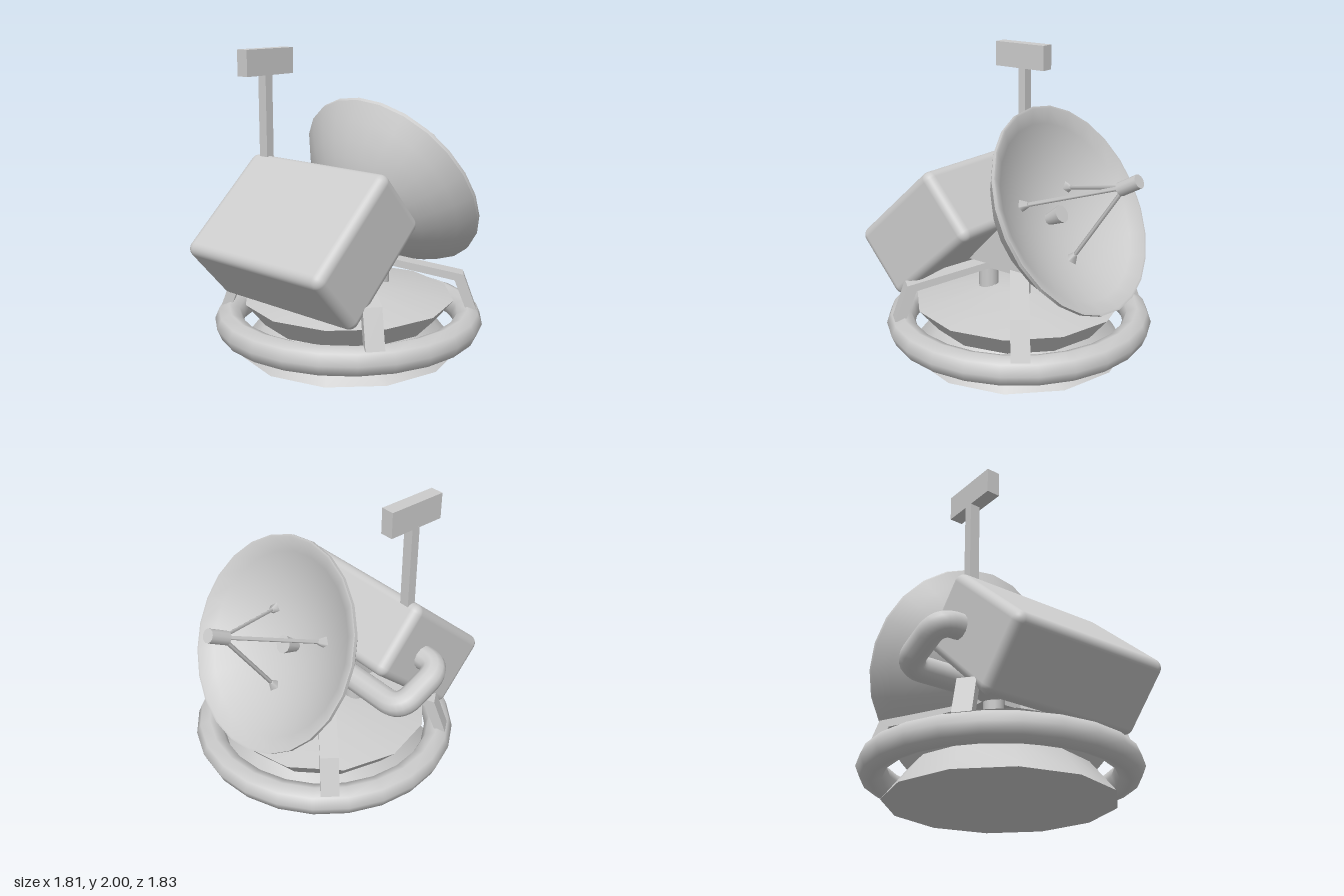
import * as THREE from 'three';
import { toCreasedNormals } from 'three/addons/utils/BufferGeometryUtils.js';
import { RoundedBoxGeometry } from 'three/addons/geometries/RoundedBoxGeometry.js';

const mat = new THREE.MeshStandardMaterial({ color: 0xcccccc });
const V = (x, y, z) => new THREE.Vector3(x, y, z);

function add(parent, name, geometry, x = 0, y = 0, z = 0) {
  const mesh = new THREE.Mesh(geometry, mat);
  mesh.name = name;
  mesh.position.set(x, y, z);
  parent.add(mesh);
  return mesh;
}

function lathe(points, segments) {
  const profile = points.map(([r, y]) => new THREE.Vector2(r, y));
  return toCreasedNormals(new THREE.LatheGeometry(profile, segments), 0.6);
}

// Flat outline extruded evenly to both sides of its plane
function slab(points, depth) {
  const shape = new THREE.Shape(points.map(([x, y]) => new THREE.Vector2(x, y)));
  const geometry = new THREE.ExtrudeGeometry(shape, { depth, bevelEnabled: false });
  return geometry.translate(0, 0, -depth / 2);
}

// Tapered rod between two points
function rod(parent, name, a, b, ra, rb, sides) {
  const dir = b.clone().sub(a);
  const mesh = add(parent, name, new THREE.CylinderGeometry(rb, ra, dir.length(), sides));
  mesh.position.copy(a).add(b).multiplyScalar(0.5);
  mesh.quaternion.setFromUnitVectors(V(0, 1, 0), dir.normalize());
  return mesh;
}

function makeBase() {
  const base = new THREE.Group();
  base.name = 'base';
  base.position.z = 0.017;

  // Waisted foot with a shallow conical top
  add(base, 'pedestal', lathe([[0, 0], [0.74, 0], [0.58, 0.2], [0.71, 0.355], [0.2, 0.47], [0, 0.47]], 12));
  add(base, 'bumperRing', new THREE.TorusGeometry(0.806, 0.097, 8, 24).rotateX(Math.PI / 2), 0, 0.205, 0);

  // Four bent legs running from the ring to the hub
  const legShape = [[0.86, 0.28], [0.77, 0.525], [0.21, 0.645], [0, 0.645],
    [0, 0.6], [0.2, 0.6], [0.71, 0.485], [0.79, 0.28]];
  const a = 0.66;
  for (const angle of [a, -a, Math.PI - a, Math.PI + a]) {
    add(base, 'leg', slab(legShape, 0.12)).rotation.y = angle;
  }
  add(base, 'hub', new THREE.BoxGeometry(0.42, 0.045, 0.25), 0, 0.6225, 0);
  for (const x of [-0.16, 0.16]) {
    for (const z of [-0.135, 0.135]) {
      add(base, 'hubPost', new THREE.CylinderGeometry(0.066, 0.066, 0.18, 12), x, 0.53, z);
    }
  }
  // Wedge carrying the cabinet and the dish
  add(base, 'wedgeBracket', slab([[-0.24, 0.64], [0.24, 0.64], [0, 0.89]], 0.47)).rotation.y = -Math.PI / 2;
  return base;
}

function makeDish() {
  const dish = new THREE.Group();
  dish.name = 'dish';
  dish.position.set(0, 1.07, -0.435);
  dish.rotation.x = -1.054;

  // Deep back shell, thin rim and shallower inner bowl
  const outer = [], inner = [];
  for (let i = 0; i <= 8; i++) {
    const t = i / 8;
    outer.push([0.7 * t, -0.025 - 0.425 * (1 - t ** 2.15)]);
    inner.unshift([0.685 * t, -0.24 * (1 - t * t)]);
  }
  add(dish, 'reflector', lathe([...outer, [0.7, 0], ...inner], 24));

  add(dish, 'feedHorn', new THREE.CylinderGeometry(0.06, 0.036, 0.13, 10), 0, -0.185, 0);
  add(dish, 'receiver', new THREE.CylinderGeometry(0.045, 0.045, 0.15, 12), 0, 0.445, 0);

  // Tripod holding the receiver
  const apex = V(0, 0.41, 0);
  for (const angle of [Math.PI / 3, -Math.PI / 3, Math.PI]) {
    const foot = V(0.3 * Math.sin(angle), -0.205, 0.3 * Math.cos(angle));
    rod(dish, 'strut', foot, apex, 0.014, 0.014, 4);
    rod(dish, 'strutFoot', foot, foot.clone().lerp(apex, 0.09), 0.045, 0.018, 4);
  }
  return dish;
}

function makePipe() {
  // Elbowed pipe from the cabinet side round to the bracket
  const start = V(-0.1, 0.74, 0.022), low = V(-0.728, 0.74, 0.022);
  const high = V(-0.728, 0.902, 0.37), end = V(-0.5, 0.902, 0.37);
  const toward = (from, to, d) => from.clone().add(to.clone().sub(from).setLength(d));
  const path = new THREE.CurvePath();
  const a = toward(low, start, 0.12), b = toward(low, high, 0.12);
  const c = toward(high, low, 0.12), d = toward(high, end, 0.12);
  path.add(new THREE.LineCurve3(start, a));
  path.add(new THREE.QuadraticBezierCurve3(a, low, b));
  path.add(new THREE.LineCurve3(b, c));
  path.add(new THREE.QuadraticBezierCurve3(c, high, d));
  path.add(new THREE.LineCurve3(d, end));
  return new THREE.TubeGeometry(path, 48, 0.083, 12);
}

export function createModel() {
  const model = new THREE.Group();
  model.name = 'dishStation';
  model.add(makeBase(), makeDish());

  // Tilted equipment cabinet
  add(model, 'cabinet', new RoundedBoxGeometry(1.16, 0.517, 0.84, 4, 0.06), 0, 0.848, 0.4625).rotation.x = 0.724;
  add(model, 'sidePipe', makePipe());

  // Sensor mast
  add(model, 'mast', new THREE.BoxGeometry(0.069, 0.65, 0.06), -0.46, 1.515, 0.316);
  add(model, 'mastHead', new THREE.BoxGeometry(0.09, 0.17, 0.41), -0.449, 1.915, 0.32);
  return model;
}
